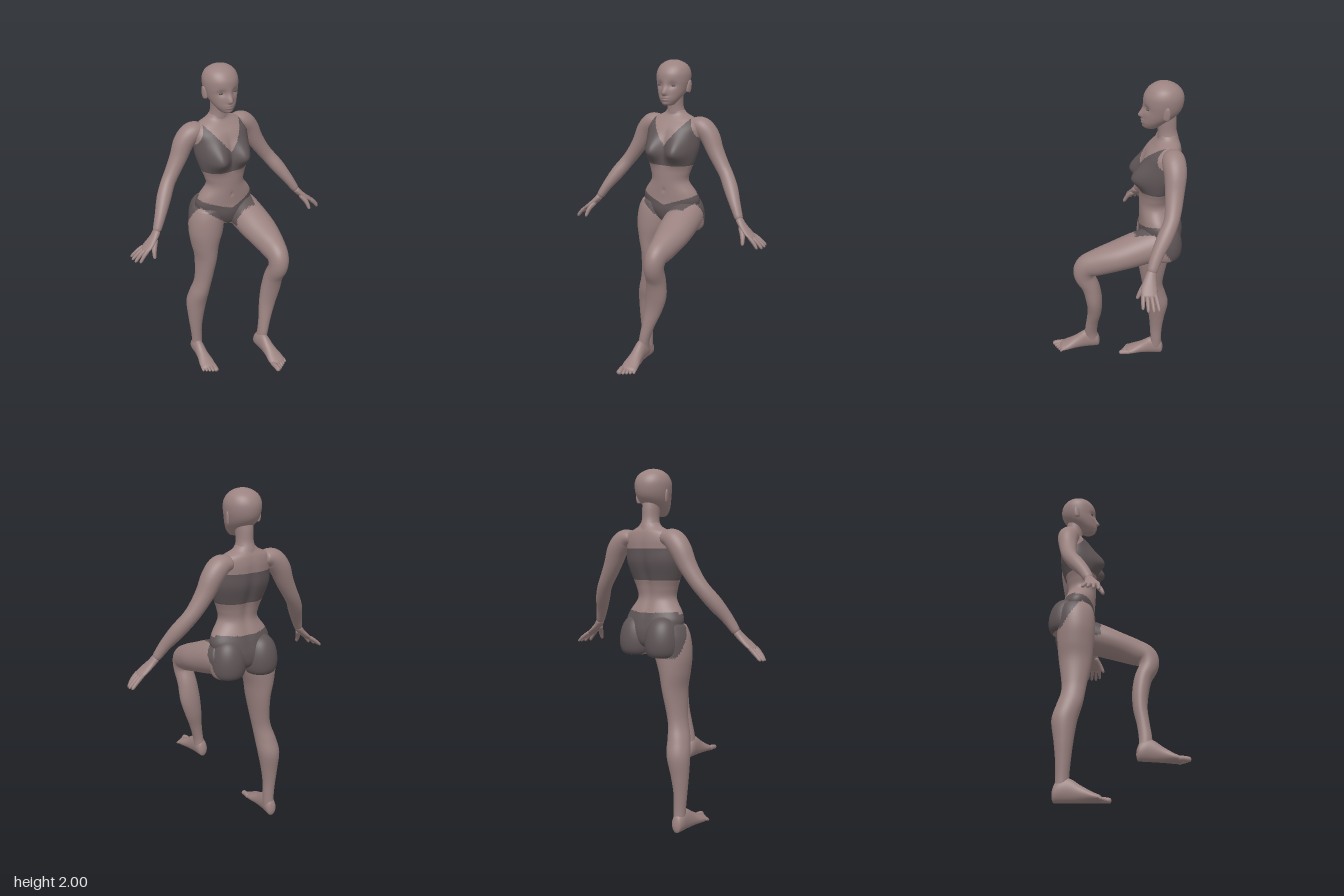
import * as THREE from 'three';

const skin = new THREE.MeshStandardMaterial({ color: 0x9a8280 });
skin.name = 'skin';
const cloth = new THREE.MeshStandardMaterial({ color: 0x5e5456 });
cloth.name = 'dark cloth';

const X = new THREE.Vector3(1, 0, 0), Y = new THREE.Vector3(0, 1, 0), Z = new THREE.Vector3(0, 0, 1);
const bump = (d, w) => Math.exp(-(d * d) / (w * w));

// Areas of the body covered by the two-piece outfit
function isBrief(p) {
  const ax = Math.abs(p.x);
  const top = p.z > -0.25 ? 1.16 + 0.35 * ax : 1.225 + 0.05 * ax;
  const leg = Math.max(0.99, Math.min(1.03 + 0.85 * ax, 1.19 + (p.z + 0.2) * 1.7));
  return p.z < -0.1 && p.y < top && p.y > leg;
}
function isTop(p) {
  const ax = Math.abs(p.x);
  const front = Math.min(1.52 + 1.3 * ax, 1.66 - (ax - 0.12) * 2);
  return p.y > 1.405 && p.y < (p.z > -0.27 ? front : 1.575);
}
const covered = (p) => isBrief(p) || isTop(p);

// Smooth skin through elliptical rings [x, y, z, radius along ref, other radius]
function loft(name, rings, o = {}) {
  const { axis = null, ref = X, seg = 32, steps = 40, tip = 0.03, warp = null, rule = null, mat = skin } = o;
  const path = new THREE.CatmullRomCurve3(rings.map((r) => new THREE.Vector3(r[0], r[1], r[2])), false, 'catmullrom');
  const size = new THREE.CatmullRomCurve3(rings.map((r) => new THREE.Vector3(r[3], r[4], 0)), false, 'catmullrom');
  const pts = [];
  for (let i = 0; i <= steps; i++) {
    const k = (1 - Math.cos((Math.PI * i) / steps)) / 2;
    const c = path.getPoint(k), s = size.getPoint(k);
    const t = axis || path.getTangent(k);
    const u = ref.clone().addScaledVector(t, -ref.dot(t)).normalize();
    const v = new THREE.Vector3().crossVectors(t, u);
    const e = Math.max(0, 1 - Math.min(k, 1 - k) / tip);
    const round = Math.sqrt(Math.max(0, 1 - e * e));
    for (let j = 0; j < seg; j++) {
      const a = (j / seg) * Math.PI * 2;
      const p = c.clone().addScaledVector(u, s.x * round * Math.cos(a)).addScaledVector(v, s.y * round * Math.sin(a));
      if (warp) warp(p, c);
      pts.push(p);
    }
  }
  const plain = [], dark = [], mid = new THREE.Vector3();
  const face = (a, b, c) => {
    mid.copy(pts[a]).add(pts[b]).add(pts[c]).divideScalar(3);
    (rule && rule(mid) ? dark : plain).push(a, b, c);
  };
  for (let i = 0; i < steps; i++) {
    for (let j = 0; j < seg; j++) {
      const a = i * seg + j, b = i * seg + ((j + 1) % seg);
      face(a, b, b + seg);
      face(a, b + seg, a + seg);
    }
  }
  const g = new THREE.BufferGeometry().setFromPoints(pts);
  g.setIndex(plain.concat(dark));
  g.computeVertexNormals();
  if (rule) {
    g.addGroup(0, plain.length, 0);
    g.addGroup(plain.length, dark.length, 1);
  }
  const m = new THREE.Mesh(g, rule ? [skin, cloth] : mat);
  m.name = name;
  return m;
}

function ellipsoid(name, x, y, z, rx, ry, rz, o = {}) {
  return loft(name, [[x, y - ry, z, rx, rz], [x, y + ry, z, rx, rz]], { axis: Y, tip: 0.5, seg: 20, steps: 16, ...o });
}

// Bust and spine relief
function shapeTorso(p, c) {
  if (p.z > c.z) {
    const f = Math.min(1, (p.z - c.z) / 0.06);
    p.z += f * 0.078 * bump(Math.abs(p.x) - 0.08, 0.066) * bump(p.y - 1.485, p.y > 1.485 ? 0.085 : 0.058);
    p.z -= f * 0.006 * bump(p.x, 0.008) * bump(p.y - 1.25, 0.012);
  } else {
    p.z += 0.013 * bump(p.x, 0.03) * bump(p.y - 1.4, 0.2);
  }
}

// Nose, eye sockets, lips and chin relief
function shapeFace(p, c) {
  if (p.z < c.z + 0.02) return;
  const ax = Math.abs(p.x);
  p.z += 0.024 * bump(p.x, 0.014) * bump(p.y - 1.82, p.y > 1.82 ? 0.032 : 0.012);
  p.z -= 0.012 * bump(ax - 0.04, 0.022) * bump(p.y - 1.866, 0.018);
  p.z += 0.008 * bump(p.x, 0.022) * (bump(p.y - 1.796, 0.006) + bump(p.y - 1.782, 0.006));
  p.z += 0.006 * bump(p.x, 0.02) * bump(p.y - 1.76, 0.012);
}

function makeHead() {
  const head = new THREE.Group();
  head.name = 'head';
  // [height, front z, back z, half width]
  const rows = [
    [1.747, -0.158, -0.215, 0.025], [1.76, -0.146, -0.235, 0.04], [1.785, -0.139, -0.27, 0.06],
    [1.815, -0.139, -0.315, 0.077], [1.85, -0.141, -0.345, 0.089], [1.89, -0.141, -0.357, 0.097],
    [1.93, -0.146, -0.355, 0.097], [1.965, -0.168, -0.335, 0.082], [1.988, -0.2, -0.3, 0.052], [2, -0.235, -0.265, 0.018],
  ];
  head.add(loft('skull', rows.map(([y, f, b, w]) => [0, y, (f + b) / 2, w, (f - b) / 2]),
    { axis: Y, seg: 80, steps: 80, warp: shapeFace }));
  for (const s of [-1, 1]) {
    const ear = ellipsoid('ear', 0, 0, 0, 0.009, 0.034, 0.019);
    ear.position.set(s * 0.096, 1.855, -0.258);
    ear.rotation.set(-0.15, s * -0.3, s * -0.12);
    head.add(ear, ellipsoid('eye', s * 0.042, 1.866, -0.164, 0.014, 0.006, 0.008, { mat: cloth }));
  }
  head.add(loft('neck', [
    [0, 1.66, -0.285, 0.075, 0.06], [0, 1.695, -0.281, 0.056, 0.056], [0, 1.735, -0.275, 0.046, 0.051],
    [0, 1.79, -0.27, 0.047, 0.053], [0, 1.84, -0.265, 0.05, 0.05],
  ], { axis: Y }));
  return head;
}

function makeArm(s) {
  const arm = new THREE.Group();
  arm.name = s > 0 ? 'leftArm' : 'rightArm';
  const add = (name, rings, o) => arm.add(loft(name, rings.map(([x, ...r]) => [s * x, ...r]), { ref: Z, ...o }));
  add('armLimb', [
    [0.1, 1.635, -0.295, 0.05, 0.035], [0.165, 1.622, -0.295, 0.062, 0.056], [0.215, 1.57, -0.3, 0.06, 0.058],
    [0.255, 1.49, -0.295, 0.052, 0.05], [0.305, 1.41, -0.285, 0.045, 0.043], [0.345, 1.355, -0.27, 0.041, 0.041],
    [0.39, 1.29, -0.235, 0.042, 0.041], [0.44, 1.21, -0.19, 0.034, 0.031], [0.485, 1.13, -0.158, 0.026, 0.022],
  ]);
  add('palm', [
    [0.475, 1.145, -0.163, 0.025, 0.021], [0.505, 1.11, -0.152, 0.032, 0.019],
    [0.545, 1.075, -0.143, 0.042, 0.016], [0.585, 1.045, -0.14, 0.04, 0.012],
  ], { tip: 0.1, steps: 20, seg: 24 });
  // Four fingers, then the thumb
  const fingers = [[0.642, 1.0, -0.19], [0.646, 0.997, -0.162], [0.64, 0.994, -0.133], [0.62, 0.998, -0.106]];
  fingers.forEach(([x, y, z], i) => add('finger', [
    [0.562, 1.062, -0.171 + i * 0.02, 0.011, 0.011], [0.6 - (i === 3 ? 0.01 : 0), 1.036, (z - 0.171 + i * 0.02) / 2, 0.011, 0.011],
    [x, y, z, 0.008, 0.008],
  ], { tip: 0.12, seg: 12, steps: 14 }));
  add('thumb', [[0.5, 1.105, -0.14, 0.016, 0.016], [0.528, 1.06, -0.105, 0.014, 0.014], [0.54, 1.012, -0.08, 0.009, 0.009]],
    { tip: 0.12, seg: 12, steps: 14 });
  return arm;
}

// Foot points along +z from the heel; inner is the side of the big toe
function makeFoot(name, inner) {
  const foot = new THREE.Group();
  foot.name = name;
  const rows = [[0, 0.028, 0.085], [0.04, 0.035, 0.12], [0.09, 0.034, 0.125], [0.15, 0.038, 0.088], [0.21, 0.049, 0.055], [0.262, 0.045, 0.032]];
  foot.add(loft('sole', rows.map(([z, w, h]) => [0, h / 2, z, w, h / 2]), { axis: Z, tip: 0.08 }));
  for (let i = 0; i < 5; i++) {
    const r = i ? 0.0105 - i * 0.0006 : 0.016, x = inner * (i ? 0.031 - i * 0.0185 : 0.034);
    foot.add(loft('toe', [[x, 0.02, 0.225, r, r], [x, 0.021, 0.265 - i * 0.006, r, r], [x, r, 0.302 - i * 0.011, r, r * 0.9]],
      { tip: 0.15, seg: 12, steps: 14 }));
  }
  return foot;
}

export function createModel() {
  const body = new THREE.Group();
  body.name = 'steppingFigure';

  body.add(loft('torso', [
    [0, 1.02, -0.25, 0.035, 0.06], [0, 1.06, -0.25, 0.09, 0.1], [0, 1.12, -0.245, 0.16, 0.113],
    [0, 1.18, -0.24, 0.183, 0.105], [0, 1.23, -0.231, 0.166, 0.097], [0, 1.3, -0.218, 0.119, 0.087],
    [0, 1.36, -0.22, 0.128, 0.09], [0, 1.42, -0.23, 0.15, 0.097], [0, 1.5, -0.25, 0.168, 0.102],
    [0, 1.57, -0.256, 0.168, 0.1], [0, 1.62, -0.264, 0.165, 0.093], [0, 1.66, -0.277, 0.138, 0.073],
    [0, 1.69, -0.281, 0.075, 0.056], [0, 1.72, -0.278, 0.045, 0.05],
  ], { axis: Y, seg: 140, steps: 170, warp: shapeTorso, rule: covered }));
  body.add(makeHead(), makeArm(1), makeArm(-1));

  // Buttocks: the standing side sits further back
  const dense = { seg: 56, steps: 56, rule: isBrief };
  body.add(ellipsoid('rightButtock', -0.097, 1.1, -0.298, 0.1, 0.108, 0.104, dense));
  body.add(ellipsoid('leftButtock', 0.1, 1.1, -0.275, 0.1, 0.108, 0.1, dense));

  // Standing leg
  body.add(loft('rightLeg', [
    [-0.2, 0.05, -0.287, 0.033, 0.038], [-0.2, 0.13, -0.285, 0.034, 0.036], [-0.203, 0.22, -0.284, 0.038, 0.041],
    [-0.2, 0.32, -0.285, 0.05, 0.052], [-0.19, 0.44, -0.285, 0.065, 0.069], [-0.178, 0.53, -0.262, 0.061, 0.07],
    [-0.163, 0.6, -0.246, 0.054, 0.066], [-0.15, 0.67, -0.24, 0.054, 0.071], [-0.135, 0.8, -0.238, 0.064, 0.092],
    [-0.135, 0.9, -0.24, 0.082, 0.102], [-0.125, 1.0, -0.24, 0.105, 0.109], [-0.115, 1.1, -0.245, 0.105, 0.109],
    [-0.105, 1.18, -0.245, 0.08, 0.09],
  ], { axis: Y, seg: 64, steps: 100, rule: isBrief }));
  const rightFoot = makeFoot('rightFoot', 1);
  rightFoot.position.set(-0.2, 0, -0.336);
  rightFoot.rotation.y = -0.07;

  // Raised leg, bent at the knee
  body.add(loft('leftLeg', [
    [0.105, 1.12, -0.3, 0.085, 0.085], [0.11, 1.09, -0.22, 0.105, 0.1], [0.12, 1.052, -0.1, 0.106, 0.096],
    [0.128, 1.02, 0, 0.098, 0.087], [0.13, 0.985, 0.1, 0.078, 0.081], [0.126, 0.95, 0.175, 0.062, 0.071],
    [0.12, 0.885, 0.192, 0.057, 0.06], [0.113, 0.8, 0.156, 0.06, 0.053], [0.105, 0.7, 0.138, 0.064, 0.049],
    [0.085, 0.6, 0.136, 0.054, 0.042], [0.06, 0.5, 0.15, 0.039, 0.037], [0.038, 0.4, 0.16, 0.031, 0.038],
    [0.028, 0.31, 0.152, 0.032, 0.04],
  ], { seg: 64, steps: 110, rule: isBrief }));
  const leftFoot = makeFoot('leftFoot', -1);
  leftFoot.position.set(0.025, 0.278, 0.104);
  leftFoot.rotation.set(0.04, 0.05, 0);
  body.add(rightFoot, leftFoot);
  return body;
}
